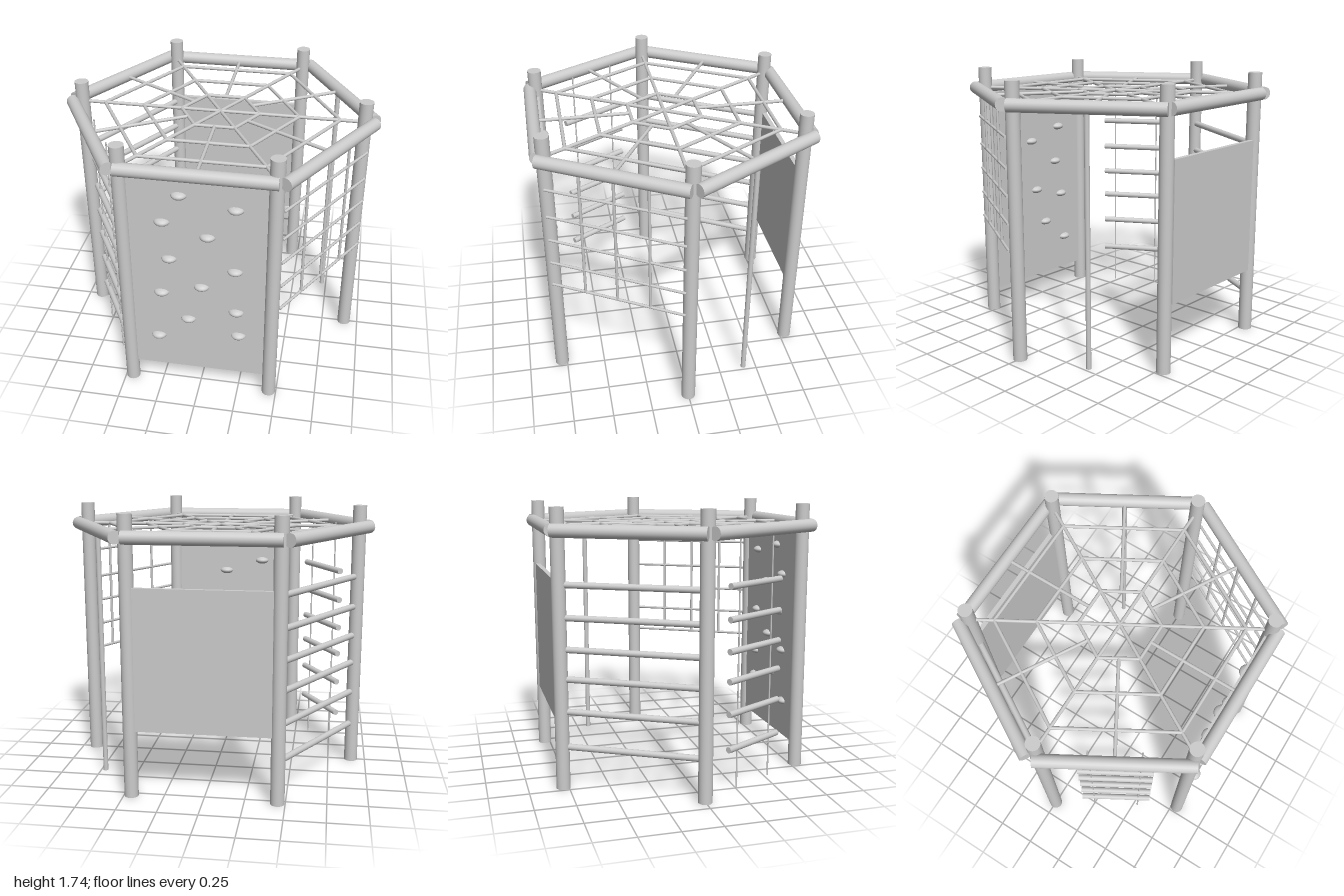
import * as THREE from 'three';

const material = new THREE.MeshStandardMaterial({ color: 0xcccccc });
const UP = new THREE.Vector3(0, 1, 0);
const RAIL_Y = 1.605;
const POST_RING = 0.905;
const POST_LINE = 0.78; // distance from the centre to the line between two posts

function add(parent, name, geometry, x = 0, y = 0, z = 0) {
  const mesh = new THREE.Mesh(geometry, material);
  mesh.name = name;
  mesh.position.set(x, y, z);
  parent.add(mesh);
  return mesh;
}

// Round bar between two points
function bar(parent, name, from, to, radius, sides = 16) {
  const a = new THREE.Vector3(...from);
  const b = new THREE.Vector3(...to);
  const dir = b.clone().sub(a);
  const mid = a.add(b).multiplyScalar(0.5);
  const mesh = add(parent, name, new THREE.CylinderGeometry(radius, radius, dir.length(), sides), mid.x, mid.y, mid.z);
  mesh.quaternion.setFromUnitVectors(UP, dir.normalize());
  return mesh;
}

// Group for one side of the hexagon: local +z points outward, x runs along the side
function side(parent, name, index) {
  const group = new THREE.Group();
  group.name = name;
  group.rotation.y = index * Math.PI / 3;
  parent.add(group);
  return group;
}

export function createModel() {
  const model = new THREE.Group();
  model.name = 'climbingFrame';
  const rungHeights = [0.27, 0.495, 0.7, 0.885, 1.08, 1.28];

  // Posts at the corners and rails along the outside
  for (let i = 0; i < 6; i++) {
    const a = i * Math.PI / 3;
    const x = POST_RING * Math.cos(a);
    const z = POST_RING * Math.sin(a);
    bar(model, 'post', [x, 0, z], [x, 1.74, z], 0.044, 24);
    const out = i % 3 === 0 ? 0.822 : 0.848;
    const edge = side(model, 'railSide', i);
    bar(edge, 'topRail', [-0.467, RAIL_Y, out], [0.467, RAIL_Y, out], 0.041, 24);
  }

  // Rope web roof: spokes to the posts, short spokes to the rails, three rings
  const web = new THREE.Group();
  web.name = 'roofWeb';
  model.add(web);
  for (let i = 0; i < 6; i++) {
    const a = i * Math.PI / 3;
    const corner = (r, angle) => [r * Math.cos(angle), RAIL_Y, r * Math.sin(angle)];
    bar(web, 'spoke', [0, RAIL_Y, 0], corner(POST_RING, a), 0.011, 10);
    bar(web, 'shortSpoke', corner(0.215, a + Math.PI / 6), corner(0.81, a + Math.PI / 6), 0.011, 10);
    for (const r of [0.25, 0.5, 0.755]) {
      bar(web, 'ringRope', corner(r, a), corner(r, a + Math.PI / 3), 0.011, 10);
    }
  }

  // Front: climbing wall with holds on both faces
  const wall = side(model, 'climbingWall', 0);
  add(wall, 'wallPanel', new THREE.BoxGeometry(0.83, 1.42, 0.03), 0, 0.86, POST_LINE);
  const holds = [
    [-0.105, 1.45], [0.225, 1.385], [-0.21, 1.26], [0.06, 1.18], [-0.175, 1.0], [0.225, 0.95],
    [0.02, 0.81], [-0.23, 0.74], [0.235, 0.64], [-0.065, 0.55], [0.25, 0.455], [-0.26, 0.39],
  ];
  for (const [x, y] of holds) {
    add(wall, 'hold', new THREE.SphereGeometry(0.05, 20, 14), x, y, POST_LINE).scale.y = 0.52;
  }

  // Front left: rope net
  const net = side(model, 'climbingNet', 1);
  const netZ = 0.83;
  for (const y of [0.71, 0.88, 1.05, 1.22, 1.41]) {
    bar(net, 'netRope', [-0.44, y, netZ], [0.44, y, netZ], 0.009, 10);
  }
  for (const x of [-0.215, 0, 0.215]) {
    bar(net, 'netUpright', [x, 0.71, netZ], [x, RAIL_Y, netZ], 0.009, 10);
  }

  // Back left: sliding pole
  const poleSide = side(model, 'slidingPoleSide', 2);
  bar(poleSide, 'slidingPole', [0, 0, 0.832], [0, RAIL_Y, 0.832], 0.016);

  // Back: plain panel
  const back = side(model, 'backSide', 3);
  add(back, 'backPanel', new THREE.BoxGeometry(0.83, 0.88, 0.03), 0, 0.87, 0.8);

  // Back right: rungs fixed between the posts
  const wallBars = side(model, 'wallBars', 4);
  for (const y of rungHeights) {
    bar(wallBars, 'wallBar', [-0.43, y, POST_LINE], [0.43, y, POST_LINE], 0.02);
  }

  // Front right: hanging rope ladder
  const ladder = side(model, 'ropeLadder', 5);
  for (const y of rungHeights) {
    bar(ladder, 'ladderRung', [-0.24, y, POST_LINE], [0.24, y, POST_LINE], 0.02);
  }
  for (const x of [-0.158, 0.158]) {
    bar(ladder, 'ladderRope', [x, 0, POST_LINE], [x, RAIL_Y, POST_LINE], 0.005, 8);
  }

  return model;
}
